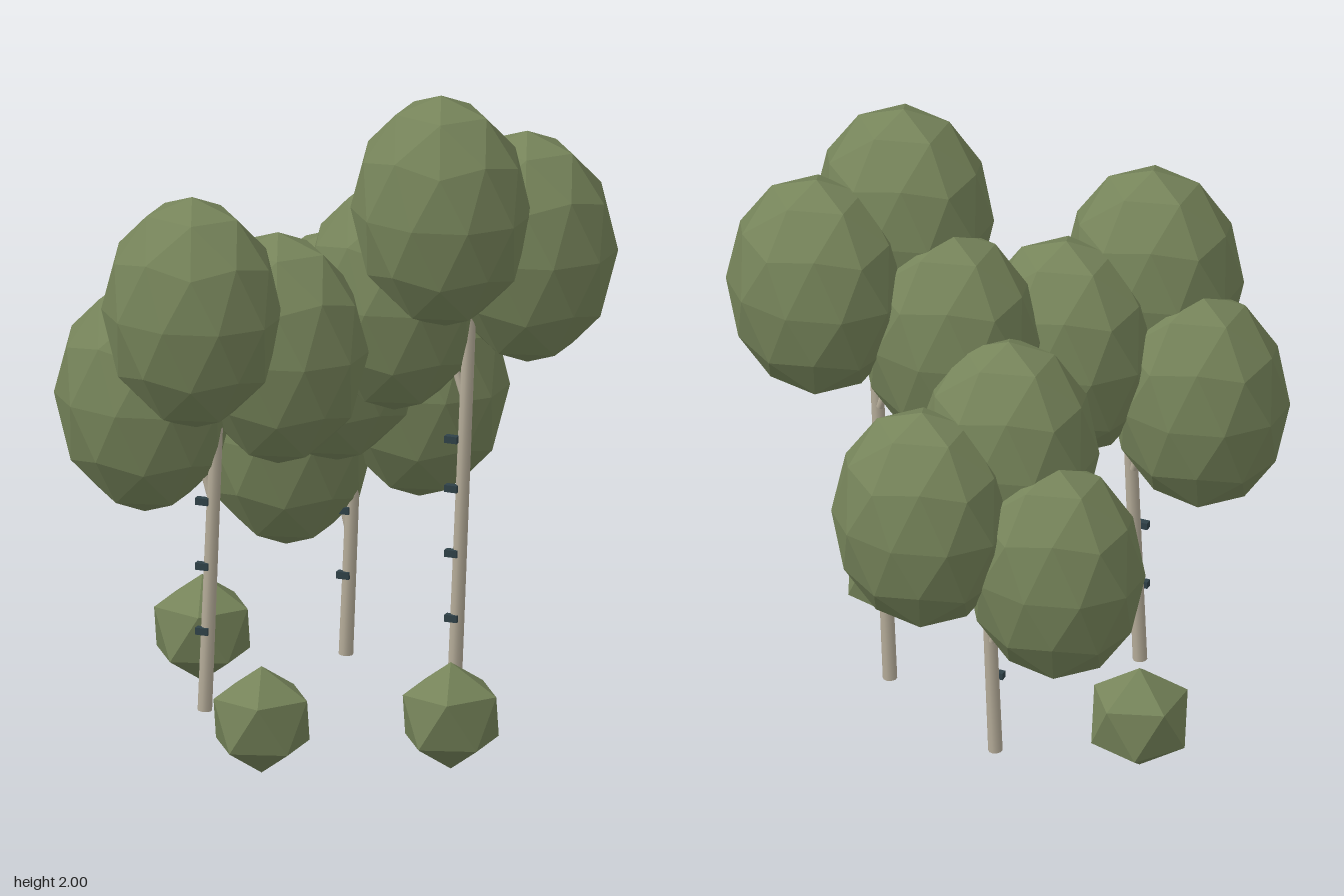
import * as THREE from 'three';

const leafMat = new THREE.MeshStandardMaterial({ color: 0x76845a });
leafMat.name = 'leaf green';
const barkMat = new THREE.MeshStandardMaterial({ color: 0xb5ac99 });
barkMat.name = 'pale bark';
const markMat = new THREE.MeshStandardMaterial({ color: 0x2f4148 });
markMat.name = 'dark bark mark';

// Faceted ball with a vertex on the vertical axis, stretched to the given radii
function facetedBall(detail, rx, ry, rz) {
  const g = new THREE.IcosahedronGeometry(1, detail);
  g.rotateX(-Math.atan((1 + Math.sqrt(5)) / 2));
  g.rotateY(Math.PI / 2);
  g.scale(rx, ry, rz);
  g.computeVertexNormals();
  return g;
}

function addMesh(parent, name, geometry, material, x = 0, y = 0, z = 0) {
  const mesh = new THREE.Mesh(geometry, material);
  mesh.name = name;
  mesh.position.set(x, y, z);
  parent.add(mesh);
  return mesh;
}

// Tapered round limb between two points
function addLimb(parent, name, from, to, r0, r1) {
  const a = new THREE.Vector3(...from);
  const dir = new THREE.Vector3(...to).sub(a);
  const g = new THREE.CylinderGeometry(r1, r0, dir.length(), 10);
  const mesh = addMesh(parent, name, g, barkMat);
  mesh.position.copy(a).addScaledVector(dir, 0.5);
  mesh.quaternion.setFromUnitVectors(new THREE.Vector3(0, 1, 0), dir.normalize());
}

const crownGeo = facetedBall(1, 0.28, 0.365, 0.233);
const bushGeo = facetedBall(0, 0.166, 0.168, 0.166);
const markGeo = new THREE.BoxGeometry(0.04, 0.022, 0.022);

// Crown offsets from the trunk base and the tree's top crown height
const crowns = [[0, 0, 0.1], [-0.2, -0.32, -0.01], [0.18, -0.16, -0.14]];
const BASE = 0.07, LEAN = 0.042;

function makeTree(x, z, crownY, marks) {
  const tree = new THREE.Group();
  tree.name = 'tree';
  tree.position.set(x, 0, z);

  const top = crownY - 0.1;
  addLimb(tree, 'trunk', [0, BASE, 0], [LEAN * (top - BASE), top, 0], 0.022, 0.019);

  // Side branch under the crown
  const by = crownY - 0.62;
  addLimb(tree, 'branch', [LEAN * (by - BASE) - 0.01, by, -0.01], [-0.08, by + 0.3, -0.03], 0.012, 0.009);

  for (const y of marks) addMesh(tree, 'barkMark', markGeo, markMat, 0, y, 0.018);
  for (const [cx, cy, cz] of crowns) addMesh(tree, 'crown', crownGeo, leafMat, cx, crownY + cy, cz);
  return tree;
}

export function createModel() {
  const model = new THREE.Group();
  model.name = 'birchGrove';

  model.add(makeTree(-0.31, 0.3, 1.355, [0.325, 0.53, 0.735]));
  model.add(makeTree(-0.13, -0.37, 1.075, [0.325, 0.53]));
  model.add(makeTree(0.333, -0.105, 1.635, [0.325, 0.53, 0.735, 0.89]));

  // Low bushes around the trunks
  for (const [x, z] of [[-0.513, -0.165], [0, 0.6], [0.51, 0.345]]) {
    addMesh(model, 'bush', bushGeo, leafMat, x, 0.168, z);
  }
  return model;
}
